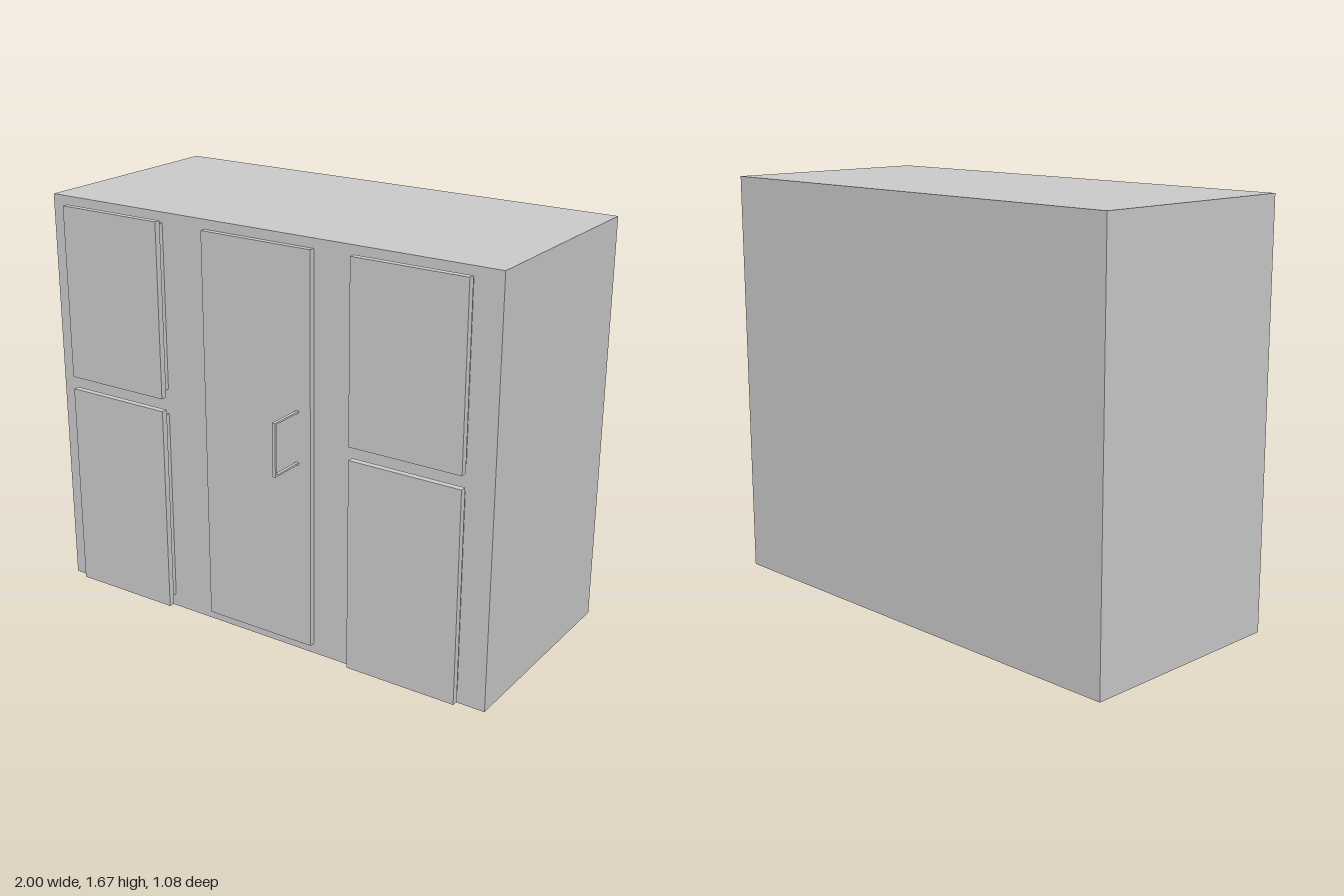
import * as THREE from 'three';

export function createModel() {
  const model = new THREE.Group();
  const material = new THREE.MeshStandardMaterial({ color: 0xcccccc });

  // Box given by its limits on each axis
  function block(name, [x0, x1], [y0, y1], [z0, z1], parent = model) {
    const mesh = new THREE.Mesh(new THREE.BoxGeometry(x1 - x0, y1 - y0, z1 - z0), material);
    mesh.position.set((x0 + x1) / 2, (y0 + y1) / 2, (z0 + z1) / 2);
    mesh.name = name;
    parent.add(mesh);
  }

  const front = 0.365;
  block('cabinetBody', [-1, 1], [0, 1.67], [-0.54, front]);

  // Central door
  block('centreDoor', [-0.245, 0.245], [0.042, 1.632], [front, 0.388]);

  // Side panels: a smaller backing board behind a wider face plate
  const rows = [
    { name: 'lower', face: [0.025, 0.885], backing: [0.053, 0.855] },
    { name: 'upper', face: [0.937, 1.645], backing: [0.96, 1.628] },
  ];
  for (const side of [-1, 1]) {
    const span = (a, b) => (side > 0 ? [a, b] : [-b, -a]);
    for (const row of rows) {
      const panel = new THREE.Group();
      panel.name = row.name + (side > 0 ? 'LeftPanel' : 'RightPanel');
      block('backingBoard', span(0.447, 0.885), row.backing, [front, 0.396], panel);
      block('facePlate', span(0.434, 0.9), row.face, [0.396, 0.422], panel);
      model.add(panel);
    }
  }

  // Door handle: upright grip on two thin arms
  const handle = new THREE.Group();
  handle.name = 'doorHandle';
  const width = [0.181, 0.194];
  block('grip', width, [0.8, 1.013], [0.528, 0.54], handle);
  block('lowerArm', width, [0.8, 0.807], [0.388, 0.528], handle);
  block('upperArm', width, [1.006, 1.013], [0.388, 0.528], handle);
  model.add(handle);

  return model;
}
